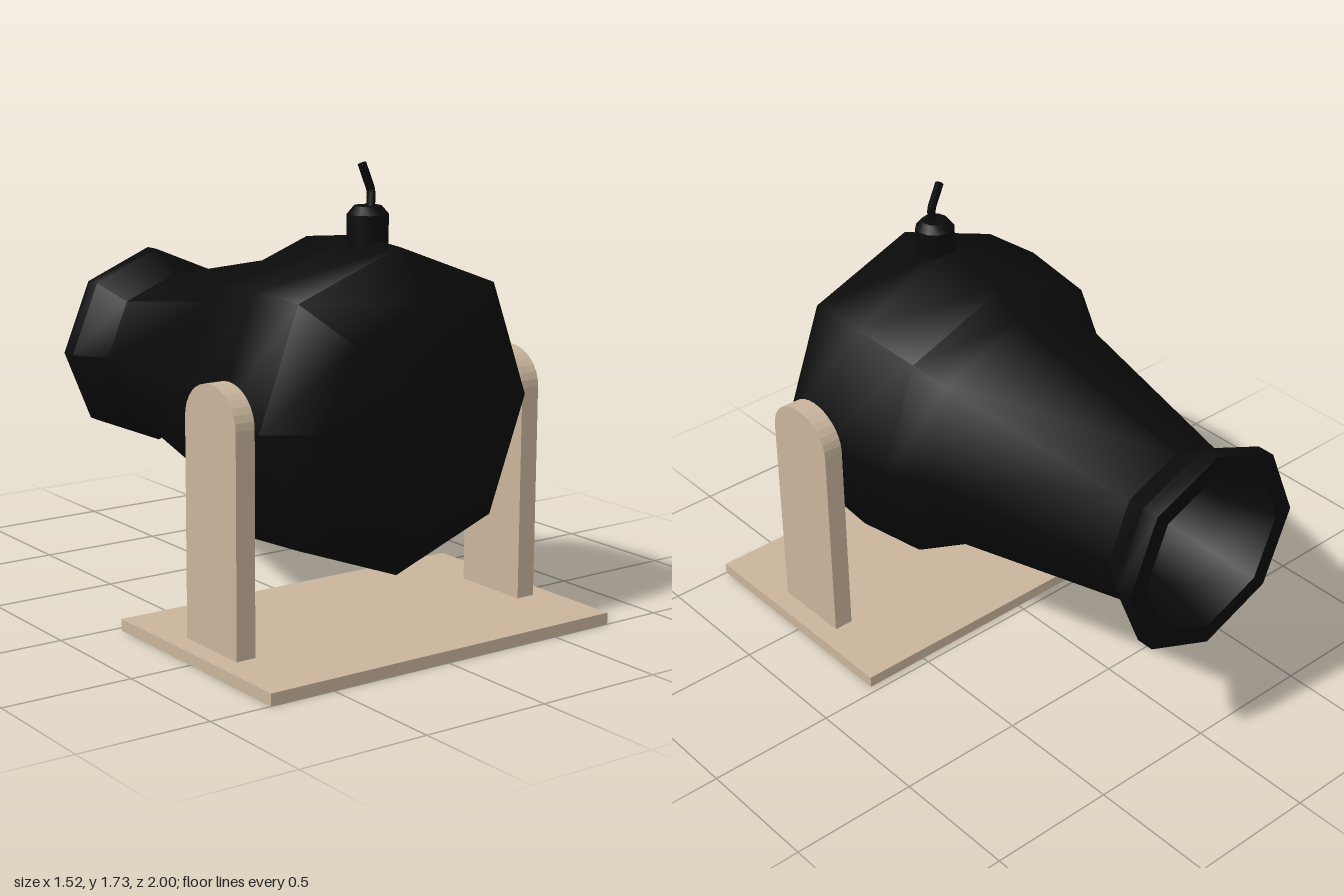
import * as THREE from 'three';
import { toCreasedNormals } from 'three/addons/utils/BufferGeometryUtils.js';

export function createModel() {
  const model = new THREE.Group();
  const iron = new THREE.MeshStandardMaterial({ color: 0x0a0a0a });
  const wood = new THREE.MeshStandardMaterial({ color: 0xc9b49c });

  const add = (name, geometry, material, x = 0, y = 0, z = 0) => {
    const mesh = new THREE.Mesh(geometry, material);
    mesh.name = name;
    mesh.position.set(x, y, z);
    model.add(mesh);
    return mesh;
  };
  const points = (list) => list.map(([r, h]) => new THREE.Vector2(r, h));

  // Barrel: eight-sided profile from the bore floor, round the muzzle, to the breech
  const barrel = new THREE.LatheGeometry(points([
    [0, -0.3], [0.23, -0.3], [0.27, -0.8], [0.33, -1],
    [0.405, -1], [0.405, -0.93], [0.315, -0.8], [0.487, 0.03],
    [0.575, 0.14], [0.613, 0.45], [0.597, 0.7], [0.415, 0.84], [0, 0.885],
  ]), 8);
  barrel.rotateX(Math.PI / 2);
  // Push the diagonal corners of the swollen breech out slightly
  const pos = barrel.attributes.position;
  for (let i = 0; i < pos.count; i++) {
    const x = pos.getX(i), y = pos.getY(i);
    if (Math.hypot(x, y) > 0.55 && Math.abs(x * y) > 0.05) {
      pos.setXY(i, x * 1.03, y * 1.03);
    }
  }
  add('barrel', toCreasedNormals(barrel, 0.9), iron, -0.004, 0.845, 0);

  // Fuse socket with a chamfered top
  const socket = new THREE.LatheGeometry(points([
    [0.076, 1.38], [0.076, 1.54], [0.05, 1.57], [0, 1.57],
  ]), 12);
  add('fuseSocket', toCreasedNormals(socket, 0.6), iron, -0.004, 0, 0.513);

  // Bent fuse
  const fusePath = new THREE.CurvePath();
  const bends = [[-0.004, 1.54, 0.527], [0.012, 1.62, 0.513], [-0.025, 1.72, 0.505]]
    .map((p) => new THREE.Vector3(...p));
  fusePath.add(new THREE.LineCurve3(bends[0], bends[1]));
  fusePath.add(new THREE.LineCurve3(bends[1], bends[2]));
  add('fuse', new THREE.TubeGeometry(fusePath, 8, 0.016, 8), iron);
  const fuseTip = add('fuseTip', new THREE.CircleGeometry(0.016, 8), iron, ...bends[2].toArray());
  fuseTip.lookAt(bends[2].clone().multiplyScalar(2).sub(bends[1]));

  // Base board
  add('base', new THREE.BoxGeometry(1.52, 0.045, 0.97), wood, 0, 0.0225, 0.515);

  // Round-topped supports on both sides
  const outline = new THREE.Shape();
  outline.moveTo(-0.16, 0.04);
  outline.lineTo(0.16, 0.04);
  outline.lineTo(0.16, 0.86);
  outline.absellipse(0, 0.86, 0.16, 0.14, 0, Math.PI);
  outline.closePath();
  const support = new THREE.ExtrudeGeometry(outline, {
    depth: 0.078, bevelEnabled: false, curveSegments: 8,
  });
  support.translate(0, 0, -0.039);
  support.rotateY(Math.PI / 2);
  for (const side of [-1, 1]) {
    add(side > 0 ? 'leftSupport' : 'rightSupport', support, wood, side * 0.641, 0, 0.515);
  }

  return model;
}
